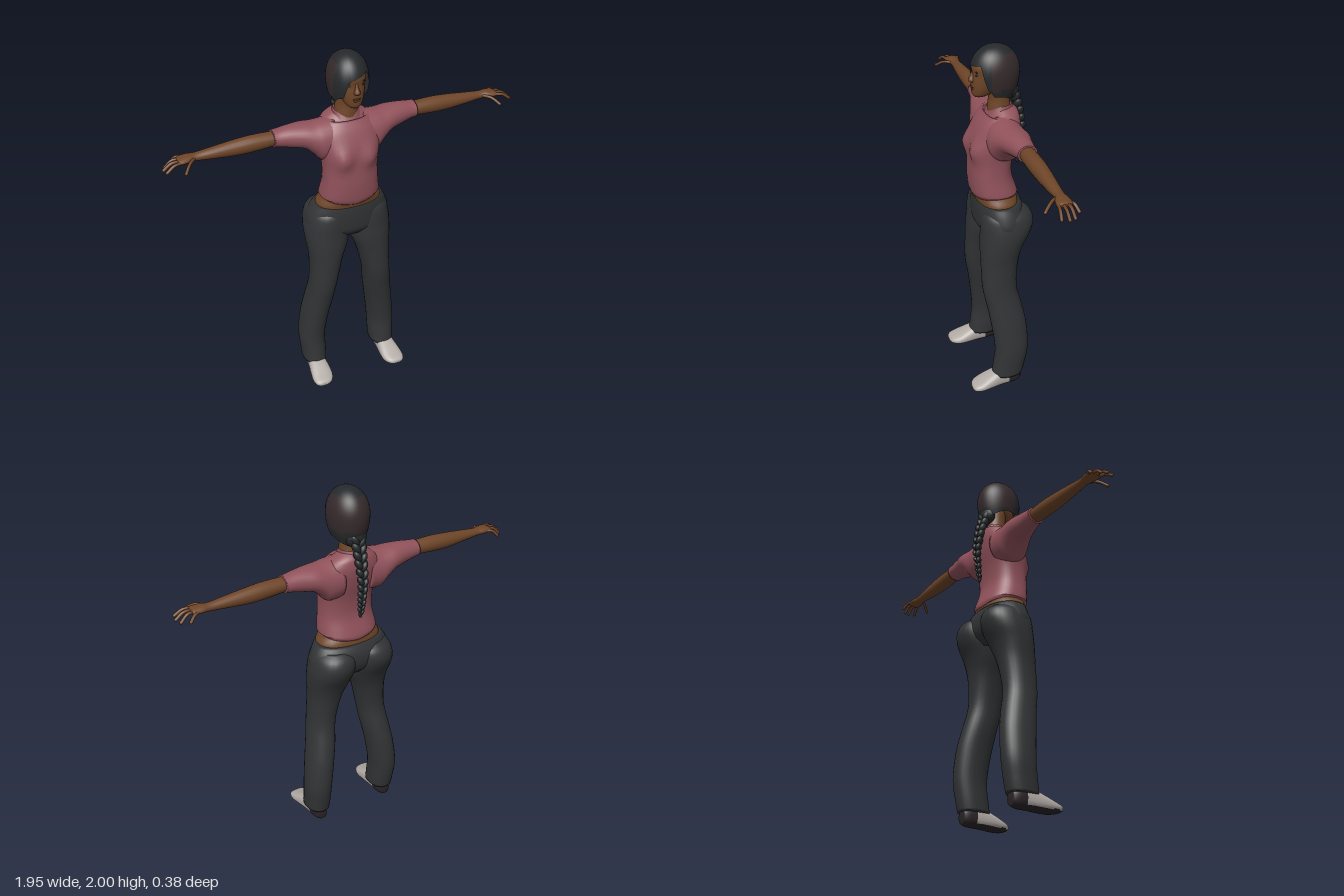
import * as THREE from 'three';

const paint = (name, color, side = THREE.FrontSide) => {
  const m = new THREE.MeshStandardMaterial({ color, side });
  m.name = name;
  return m;
};

// Smooth grid of points, closed around its columns; s = -1 mirrors it in x.
function grid(rows, cols, point, s = 1, pick = null) {
  const pos = [], lists = {};
  for (let i = 0; i < rows; i++) for (let j = 0; j < cols; j++) {
    const p = point(i, j);
    pos.push(p[0] * s, p[1], p[2]);
  }
  for (let i = 0; i < rows - 1; i++) for (let j = 0; j < cols; j++) {
    const k = (j + 1) % cols;
    const a = i * cols + j, b = i * cols + k, c = b + cols, d = a + cols;
    const mid = [0, 1, 2].map(n => (pos[a * 3 + n] + pos[b * 3 + n] + pos[c * 3 + n] + pos[d * 3 + n]) / 4);
    const key = pick ? pick(...mid) : 0;
    (lists[key] ??= []).push(...(s > 0 ? [a, b, c, a, c, d] : [a, c, b, a, d, c]));
  }
  const g = new THREE.BufferGeometry();
  g.setAttribute('position', new THREE.Float32BufferAttribute(pos, 3));
  const index = [];
  for (const key of Object.keys(lists)) {
    if (pick) g.addGroup(index.length, lists[key].length, Number(key));
    for (const v of lists[key]) index.push(v);
  }
  g.setIndex(index);
  g.computeVertexNormals();
  return g;
}

// Loft through sections [along, aLow, aHigh, bLow, bHigh], splined between them and capped.
function loft(axis, sections, { cols = 28, power = 2, s = 1, steps = 4, deform = null, pick = null } = {}) {
  const rows = [], at = n => sections[Math.max(0, Math.min(sections.length - 1, n))];
  const collapse = q => [q[0], (q[1] + q[2]) / 2, (q[1] + q[2]) / 2, (q[3] + q[4]) / 2, (q[3] + q[4]) / 2];
  for (let n = 0; n < sections.length - 1; n++) for (let k = 0; k < steps; k++) {
    const t = k / steps;
    rows.push(at(n).map((p1, m) => {
      const p0 = at(n - 1)[m], p2 = at(n + 1)[m], p3 = at(n + 2)[m];
      return p1 + 0.5 * t * (p2 - p0 + t * (2 * p0 - 5 * p1 + 4 * p2 - p3 + t * (3 * (p1 - p2) + p3 - p0)));
    }));
  }
  rows.push(at(sections.length));
  rows.unshift(collapse(rows[0]));
  rows.push(collapse(rows[rows.length - 1]));
  const bend = v => Math.sign(v) * Math.abs(v) ** (2 / power);
  return grid(rows.length, cols, (i, j) => {
    const [t, a0, a1, b0, b1] = rows[i], th = j / cols * Math.PI * 2;
    const a = (a0 + a1) / 2 + (axis === 'y' ? 1 : -1) * (a1 - a0) / 2 * bend(Math.sin(th));
    const b = (b0 + b1) / 2 + (b1 - b0) / 2 * bend(Math.cos(th));
    const p = axis === 'y' ? [a, t, b] : axis === 'x' ? [t, a, b] : [a, b, t];
    return deform ? deform(p) : p;
  }, s, pick);
}

// Section symmetric about x = 0
const sym = list => list.map(([y, w, back, front]) => [y, -w, w, back, front]);

export function createModel() {
  const model = new THREE.Group();
  model.name = 'womanWithBraid';
  const skin = paint('skin', 0x6e4528), shirtPink = paint('shirtPink', 0x91525b);
  const cloth = paint('trouserCharcoal', 0x323435), shoeGrey = paint('shoeGrey', 0xb3aca7);
  const soleDark = paint('soleDark', 0x2a2325), lipBrown = paint('lipBrown', 0x56301f);
  const hairBlack = paint('hairBlack', 0x26292b, THREE.DoubleSide);
  const hairBrown = paint('hairBrown', 0x352a2c, THREE.DoubleSide);
  const collarPink = paint('collarPink', 0x8a4c55, THREE.DoubleSide);
  const add = (name, geometry, material, parent = model) => {
    const m = new THREE.Mesh(geometry, material);
    m.name = name;
    parent.add(m);
    return m;
  };
  const blob = (name, mat, [x, y, z], [sx, sy, sz], parent = model) => {
    const m = add(name, new THREE.SphereGeometry(1, 14, 10), mat, parent);
    m.position.set(x, y, z);
    m.scale.set(sx, sy, sz);
    return m;
  };

  // Shirt with bust and a lowered front neckline
  add('shirtBody', loft('y', sym([
    [1.168, 0.15, -0.122, 0.108], [1.2, 0.163, -0.125, 0.12], [1.3, 0.15, -0.095, 0.126],
    [1.4, 0.15, -0.1, 0.12], [1.5, 0.165, -0.125, 0.112], [1.58, 0.165, -0.138, 0.08],
    [1.63, 0.13, -0.135, 0.045], [1.655, 0.095, -0.125, 0.025], [1.672, 0.065, -0.105, 0.012]]), {
    cols: 40, power: 2.4,
    deform: ([x, y, z]) => {
      const bust = z > 0 ? 0.03 * Math.exp(-(((Math.abs(x) - 0.075) / 0.05) ** 2) - ((y - 1.45) / 0.055) ** 2) : 0;
      const dip = y > 1.64 ? 0.022 * THREE.MathUtils.clamp((z + 0.04) / 0.06, 0, 1) : 0;
      const hem = y < 1.19 ? 0.018 * Math.abs(x) / 0.16 : 0;
      return [x, y - dip + hem, z + bust];
    } }), shirtPink);

  // Open collar, high at the back and sides, low at the front
  add('collar', grid(3, 28, (i, j) => {
    const th = j / 28 * Math.PI * 2, front = Math.max(0, Math.cos(th)) ** 2, r = [0.082, 0.074, 0.066][i];
    return [r * Math.sin(th), 1.64 + i * 0.022 - front * (0.012 + i * 0.012), -0.043 + (r - 0.002) * Math.cos(th)];
  }), collarPink);

  add('midriff', loft('y', sym([[1.1, 0.18, -0.125, 0.09], [1.15, 0.182, -0.125, 0.1],
    [1.19, 0.157, -0.115, 0.106], [1.23, 0.14, -0.09, 0.1]]), { power: 2.3 }), skin);
  add('neck', loft('y', sym([[1.6, 0.062, -0.105, 0.025], [1.66, 0.06, -0.1, 0.022],
    [1.72, 0.055, -0.09, 0.016], [1.79, 0.056, -0.09, 0.03]])), skin);

  // Head and face
  add('head', loft('y', sym([[1.735, 0.026, 0.03, 0.094], [1.75, 0.042, 0, 0.104], [1.785, 0.06, -0.05, 0.107],
    [1.82, 0.071, -0.09, 0.106], [1.86, 0.077, -0.1, 0.102], [1.9, 0.079, -0.105, 0.104],
    [1.95, 0.065, -0.08, 0.08]]), { power: 2.2 }), skin);
  add('nose', loft('y', sym([[1.812, 0.013, 0.08, 0.11], [1.825, 0.018, 0.08, 0.125],
    [1.85, 0.01, 0.08, 0.114], [1.88, 0.007, 0.08, 0.102]]), { cols: 14 }), skin);
  blob('upperLip', lipBrown, [0, 1.789, 0.105], [0.023, 0.005, 0.006]);
  blob('lowerLip', lipBrown, [0, 1.78, 0.104], [0.019, 0.006, 0.006]);
  for (const s of [-1, 1]) {
    blob('eye', soleDark, [s * 0.033, 1.86, 0.091], [0.013, 0.005, 0.005]);
    blob('eyebrow', soleDark, [s * 0.035, 1.878, 0.092], [0.018, 0.004, 0.005]);
  }

  // Hair shell: hairline sweeps over the forehead and drops at the sides and nape
  const smooth = THREE.MathUtils.smoothstep;
  const hairline = th => {
    const a = Math.abs(th);
    const fringe = 1.9 + 0.03 * Math.sin(th);
    const side = th < 0 ? 0.09 * smooth(a, 0.35, 0.7) + 0.035 * smooth(a, 0.9, 1.3) : 0.15 * smooth(a, 0.65, 1.15);
    return fringe - side - 0.04 * smooth(a, 1.5, 2.7) + (a > 1.3 ? 0.03 * (1 - Math.sin(th)) - 0.03 : 0);
  };
  add('hair', grid(18, 48, (i, j) => {
    const th = j / 48 * Math.PI * 2, signed = th > Math.PI ? th - Math.PI * 2 : th;
    const low = hairline(signed), y = low + (2 - low) * (1 - (1 - i / 17) ** 1.7);
    const h = (y - 1.86) / 0.14;
    const r = h > 0 ? Math.max(0, 1 - h * h) ** 0.47 : 1 - 0.27 * h * h;
    return [0.107 * r * Math.sin(th), y, -0.016 + 0.13 * r * Math.cos(th)];
  }, 1, (x, y, z) => (z < 0.035 && y > 1.785 && y < 1.965 ? 1 : 0)), [hairBlack, hairBrown]);
  blob('hairGather', hairBlack, [0, 1.755, -0.095], [0.06, 0.055, 0.04]);

  // Braid of paired, tilted strands shrinking down the back
  const braid = new THREE.Group();
  braid.name = 'braid';
  model.add(braid);
  const path = new THREE.CatmullRomCurve3([[1.74, -0.112], [1.64, -0.142], [1.53, -0.163], [1.43, -0.157], [1.355, -0.147]]
    .map(([y, z]) => new THREE.Vector3(0, y, z)));
  for (let i = 0; i < 11; i++) {
    const p = path.getPoint(i / 10), r = 0.037 - 0.0021 * i;
    for (const s of [-1, 1]) {
      const strand = blob('strand', hairBlack, [s * r * 0.5, p.y + s * 0.008, p.z], [r * 0.58, r * 1.0, r * 0.75], braid);
      strand.rotation.z = -s * 0.5;
    }
  }
  blob('braidTip', hairBlack, [0, 1.338, -0.143], [0.011, 0.025, 0.01], braid);

  // Trouser top
  add('trouserHips', loft('y', sym([[0.95, 0.13, -0.1, 0.07], [0.99, 0.215, -0.14, 0.095], [1.04, 0.238, -0.16, 0.101],
    [1.1, 0.222, -0.158, 0.103], [1.147, 0.196, -0.135, 0.1]]), { power: 2.2, cols: 36 }), cloth);

  for (const s of [-1, 1]) {
    const side = s > 0 ? 'left' : 'right';
    // Sleeve, arm and hand
    add(side + 'Sleeve', loft('x', [[0.08, 1.42, 1.645, -0.135, 0.07], [0.15, 1.415, 1.638, -0.136, 0.07],
      [0.19, 1.455, 1.634, -0.134, 0.058], [0.24, 1.497, 1.635, -0.128, 0.04], [0.31, 1.515, 1.633, -0.112, 0.018],
      [0.37, 1.53, 1.625, -0.104, 0.004], [0.4, 1.533, 1.623, -0.102, 0.002]], { s }), shirtPink);
    add(side + 'Arm', loft('x', [[0.36, 1.543, 1.615, -0.09, -0.008], [0.5, 1.532, 1.619, -0.094, -0.008],
      [0.6, 1.53, 1.613, -0.092, -0.013], [0.72, 1.541, 1.6, -0.084, -0.02], [0.8, 1.549, 1.591, -0.079, -0.026],
      [0.84, 1.552, 1.592, -0.085, -0.013], [0.88, 1.555, 1.587, -0.086, -0.006], [0.895, 1.562, 1.58, -0.078, -0.012]],
    { s, cols: 20 }), skin);
    const hand = new THREE.Group();
    hand.name = side + 'Fingers';
    model.add(hand);
    const fingers = [ // base x, base z, tip x, tip y, tip z
      [0.865, -0.078, 0.918, 1.543, -0.102], [0.88, -0.06, 0.955, 1.536, -0.068],
      [0.885, -0.037, 0.968, 1.54, -0.036], [0.88, -0.016, 0.96, 1.543, 0.0], [0.815, -0.03, 0.877, 1.543, 0.045]];
    for (const [bx, bz, tx, ty, tz] of fingers) {
      const pts = [[bx, 1.571, bz], [(bx + tx) / 2, 1.569, (bz + tz) / 2], [tx, ty, tz]]
        .map(([x, y, z]) => new THREE.Vector3(x * s, y, z));
      add('finger', new THREE.TubeGeometry(new THREE.CatmullRomCurve3(pts), 8, 0.0085, 8), skin, hand);
      blob('fingertip', skin, [tx * s, ty, tz], [0.0085, 0.0085, 0.0085], hand);
    }

    // Trouser leg, full at the seat and flared at the hem
    add(side + 'TrouserLeg', loft('y', [[0.075, 0.148, 0.283, -0.11, 0.07], [0.14, 0.146, 0.287, -0.124, 0.06],
      [0.25, 0.144, 0.291, -0.14, 0.05], [0.4, 0.125, 0.275, -0.135, 0.065], [0.52, 0.103, 0.256, -0.113, 0.083],
      [0.65, 0.085, 0.237, -0.087, 0.105], [0.8, 0.05, 0.232, -0.1, 0.106], [0.9, 0.012, 0.241, -0.13, 0.105],
      [0.98, -0.004, 0.245, -0.172, 0.1], [1.04, -0.004, 0.238, -0.189, 0.098], [1.09, 0, 0.222, -0.175, 0.09],
      [1.12, 0.03, 0.19, -0.14, 0.07]], { s, power: 2.15 }), cloth);

    // Shoe: grey upper, dark heel and sole
    add(side + 'Shoe', loft('z', [[-0.095, 0.19, 0.243, 0.012, 0.08], [-0.06, 0.177, 0.258, 0, 0.1],
      [0.02, 0.17, 0.268, 0, 0.108], [0.08, 0.164, 0.279, 0, 0.088], [0.14, 0.165, 0.287, 0.002, 0.06],
      [0.18, 0.184, 0.279, 0.008, 0.044], [0.194, 0.21, 0.258, 0.014, 0.032]],
    { s, power: 2.5, pick: (x, y, z) => (y < 0.014 || z < -0.02 ? 1 : 0) }), [shoeGrey, soleDark]);
  }
  return model;
}
